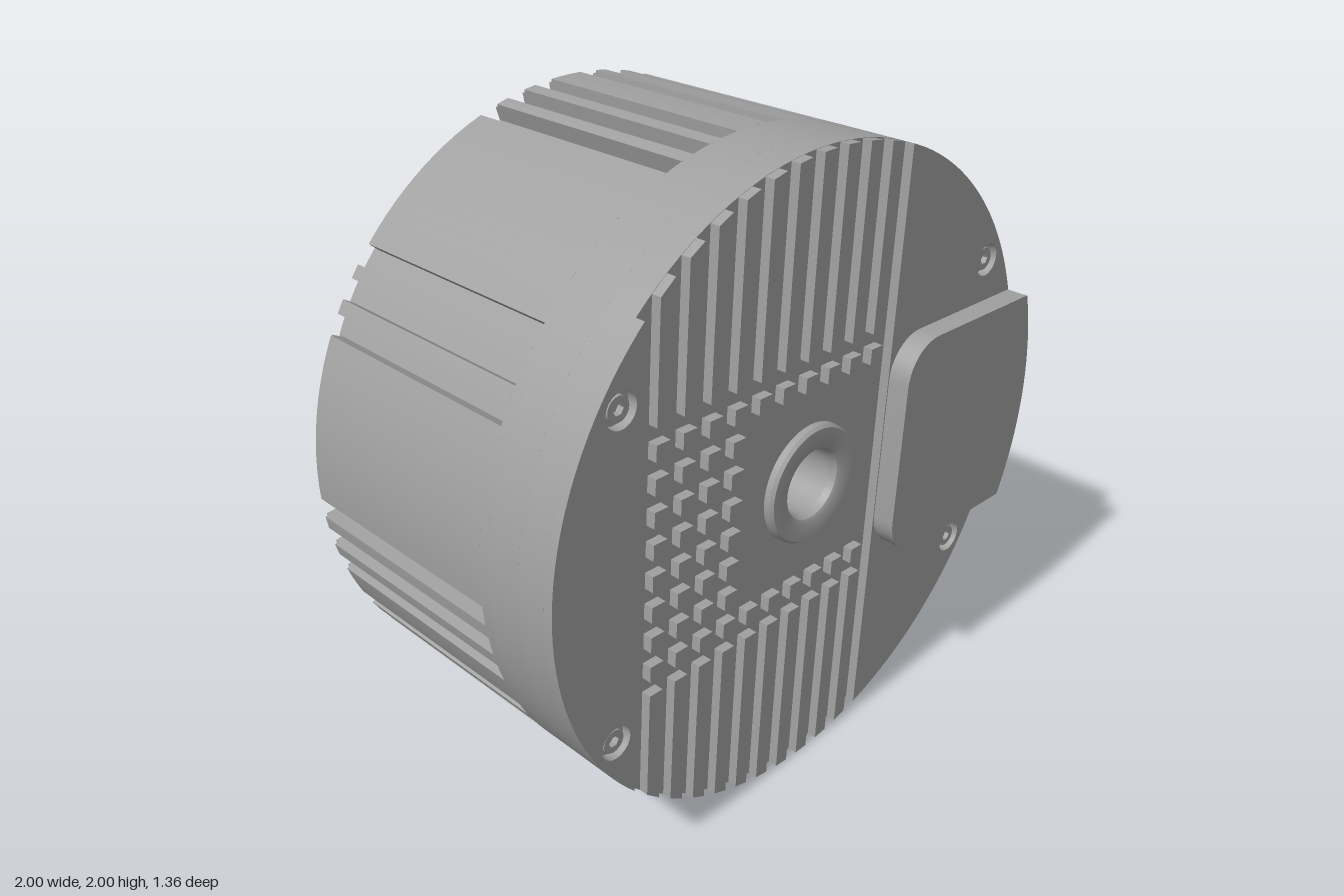
import * as THREE from 'three';
import { toCreasedNormals } from 'three/addons/utils/BufferGeometryUtils.js';

const DEG = Math.PI / 180;
const TILT = -2.2 * DEG;   // the front pattern is turned slightly about the axis
const BORE = 0.105;

export function createModel() {
  const grey = new THREE.MeshStandardMaterial({ color: 0xa0a0a0 });
  grey.name = 'machined grey';

  const model = new THREE.Group();
  model.name = 'rotaryActuator';
  const axis = new THREE.Group();      // z is the rotation axis
  axis.name = 'housing';
  axis.position.y = 1;
  model.add(axis);
  const front = new THREE.Group();
  front.name = 'frontCover';
  front.rotation.z = TILT;
  const rear = new THREE.Group();
  rear.name = 'rearFlange';
  axis.add(front, rear);

  // ---- helpers ----
  const V = (x, y) => new THREE.Vector2(x, y);
  const polar = (r, a) => V(r * Math.cos(a), r * Math.sin(a));
  const arc = (r, a0, a1, n = 48, cx = 0, cy = 0) =>
    Array.from({ length: n + 1 }, (_, i) => polar(r, a0 + (a1 - a0) * i / n).add(V(cx, cy)));
  const circle = (r, n = 20, cx = 0, cy = 0) => arc(r, 0, 2 * Math.PI, n, cx, cy).slice(0, n);
  const ringOfHoles = (r, size, angles) =>
    angles.map(a => { const p = polar(r, a * DEG); return circle(size, 16, p.x, p.y); });
  const steps = (n, start = 0) => Array.from({ length: n }, (_, i) => start + i * 360 / n);

  function add(parent, name, geometry) {
    const mesh = new THREE.Mesh(geometry, grey);
    mesh.name = name;
    parent.add(mesh);
    return mesh;
  }
  function slab(parent, name, outline, holes, z0, z1) {
    const shape = new THREE.Shape(outline);
    shape.holes = holes.map(h => new THREE.Path(h));
    const g = new THREE.ExtrudeGeometry(shape, { depth: z1 - z0, bevelEnabled: false });
    g.translate(0, 0, z0);
    return add(parent, name, toCreasedNormals(g, 0.6));
  }
  function box(parent, name, x0, x1, y0, y1, z0, z1) {
    const g = new THREE.BoxGeometry(x1 - x0, y1 - y0, z1 - z0);
    g.translate((x0 + x1) / 2, (y0 + y1) / 2, (z0 + z1) / 2);
    return add(parent, name, g);
  }
  // circle with flat-bottomed cuts: { a: angle, w: half width, floor: distance from axis }
  function notched(R, cuts) {
    const sorted = [...cuts].sort((p, q) => p.a - q.a);
    const pts = [];
    sorted.forEach((c, i) => {
      const next = sorted[(i + 1) % sorted.length];
      const turn = i === sorted.length - 1 ? 2 * Math.PI : 0;
      const local = (u, v) => V(u, v).rotateAround(V(0, 0), c.a);
      pts.push(local(c.floor, -c.w), local(c.floor, c.w));
      const a0 = c.a + Math.asin(c.w / R), a1 = next.a + turn - Math.asin(next.w / R);
      pts.push(...arc(R, a0, a1, Math.max(2, Math.ceil((a1 - a0) / 0.05))));
    });
    return pts;
  }
  const bore = circle(BORE, 48);

  // ---- finned main body: cooling slots in groups of three ----
  const slots = [];
  for (let k = 0; k < 16; k++) {
    if (k === 5 || k === 7) continue;
    for (const d of [-6.1, 0, 6.1]) {
      slots.push({ a: (11.25 + 22.5 * k + d) * DEG, w: 0.032, floor: 0.945 });
    }
  }
  const rimHoles = ringOfHoles(0.92, 0.022, steps(16));
  slab(axis, 'finnedBody', notched(1, slots), [bore, ...rimHoles], -0.418, 0.33);
  slab(axis, 'finnedBodyRearEdge', notched(0.988, slots), [bore, ...rimHoles], -0.43, -0.418);

  // ---- plain front barrel with connector flat and side window ----
  const flat = { a: TILT, w: 0.362, floor: 0.93 };
  const sideWindow = { a: 55 * DEG, w: 0.06, floor: 0.94 };
  slab(axis, 'barrelBand', circle(1, 128), [bore], 0.33, 0.36);
  slab(axis, 'barrelWindowBand', notched(1, [flat, sideWindow]), [bore], 0.36, 0.48);
  slab(axis, 'barrelFront', notched(1, [flat]), [bore], 0.48, 0.58);
  const insert = box(axis, 'sideWindowInsert', 0.93, 0.98, -0.04, 0.04, 0.405, 0.46);
  insert.rotation.z = 55 * DEG;

  // ---- raised cover plates left and right of the recessed field ----
  const right = Math.acos(0.316), left = Math.acos(0.705), gap = Math.asin(0.362);
  const screwAt = (sx, sy) => circle(0.052, 20, sx * 0.777, sy * 0.5);
  slab(front, 'rightCoverPlate', [...arc(1, -right, -gap), ...arc(1, gap, right)],
    [screwAt(1, 1), screwAt(1, -1)], 0.58, 0.61);
  slab(front, 'leftCoverPlate', arc(1, Math.PI - left, Math.PI + left),
    [screwAt(-1, 1), screwAt(-1, -1)], 0.58, 0.61);
  for (const sx of [-1, 1]) for (const sy of [-1, 1]) {
    slab(front, 'coverScrew', circle(0.036, 20, sx * 0.777, sy * 0.5),
      [circle(0.018, 6, sx * 0.777, sy * 0.5)], 0.575, 0.6);
  }

  // ---- front fins and pin blocks ----
  const pitch = 0.0968, half = 0.0245;
  for (let i = 0; i < 10; i++) {
    const u = -0.629 + pitch * i, a = u - half, b = u + half;
    const edge = x => Math.sqrt(0.998 - x * x);
    slab(front, 'upperFin', [V(a, 0.41), V(b, 0.41), V(b, edge(b)), V(a, edge(a))], [], 0.575, 0.61);
    slab(front, 'lowerFin', [V(a, -edge(a)), V(b, -edge(b)), V(b, -0.41), V(a, -0.41)], [], 0.575, 0.61);
    for (let j = 0; j < 8; j++) {
      if (i > 3 && j > 0 && j < 7) continue;
      const v = 0.338 - j * pitch * 0.998;
      box(front, 'pinBlock', a, b, v - half, v + half, 0.575, 0.61);
    }
  }

  // ---- collar around the front of the bore ----
  const collar = new THREE.LatheGeometry(
    [V(0.186, 0.575), V(0.186, 0.6), V(0.178, 0.61), V(0.125, 0.61), V(0.112, 0.603), V(BORE, 0.58)], 64);
  collar.rotateX(Math.PI / 2);
  add(front, 'boreCollar', toCreasedNormals(collar, 0.5)).material = grey;

  // ---- connector housing on the right side ----
  const leftCorners = [
    ...arc(0.13, Math.PI / 2, Math.PI, 10, 0.45, 0.232),
    ...arc(0.13, Math.PI, 1.5 * Math.PI, 10, 0.45, -0.232),
  ];
  slab(front, 'connectorHousing', [...leftCorners, V(0.93, -0.362), V(0.93, 0.362)], [], 0.6, 0.668);
  slab(front, 'connectorLid', [...leftCorners, ...arc(1, -gap, gap, 20)], [], 0.668, 0.68);
  const lens = (name, r, z0, z1) => {
    const t = Math.acos(0.925 / r);
    slab(front, name, arc(r, -t, t, 20), [], z0, z1);
  };
  lens('connectorRearStep', 0.965, 0.36, 0.385);
  lens('connectorBackPanel', 0.95, 0.385, 0.668);
  lens('connectorLowerFrame', 0.985, 0.505, 0.52);
  lens('connectorUpperFrame', 0.985, 0.655, 0.668);
  box(front, 'connectorDivider', 0.92, 0.975, -0.008, 0.008, 0.51, 0.66);
  for (const s of [-1, 1]) {
    box(front, 'connectorEndFrame', 0.92, 0.937, s * 0.335 - 0.012, s * 0.335 + 0.012, 0.505, 0.668);
    box(front, 'connectorLatch', 0.92, 0.985, s * 0.055 - 0.046, s * 0.055 + 0.046, 0.435, 0.48);
  }

  // ---- stepped rear flange ----
  slab(rear, 'outerFlange', circle(0.88, 128),
    [bore, ...ringOfHoles(0.825, 0.018, steps(16, 11.25))], -0.54, -0.43);
  slab(rear, 'middleFlange', circle(0.772, 128), [bore], -0.585, -0.54);
  const bolts = [38, 158, 278].flatMap(a => [a - 15, a, a + 15, a + 45, a + 75]);
  const boltHoles = ringOfHoles(0.6, 0.032, bolts);
  slab(rear, 'outputRing', circle(0.68, 128), [circle(0.53, 96), ...boltHoles], -0.67, -0.585);
  slab(rear, 'outputRingEdge', circle(0.672, 128), [circle(0.538, 96), ...boltHoles], -0.68, -0.67);
  slab(rear, 'outputDisc', circle(0.532, 96), [bore], -0.645, -0.585);

  // ---- hub with four screws ----
  slab(rear, 'hub', circle(0.225, 64), [bore, ...ringOfHoles(0.163, 0.034, steps(4))], -0.67, -0.64);
  for (const a of steps(4)) {
    const p = polar(0.163, a * DEG);
    slab(rear, 'hubScrew', circle(0.024, 16, p.x, p.y), [circle(0.012, 6, p.x, p.y)], -0.657, -0.64);
  }
  return model;
}
